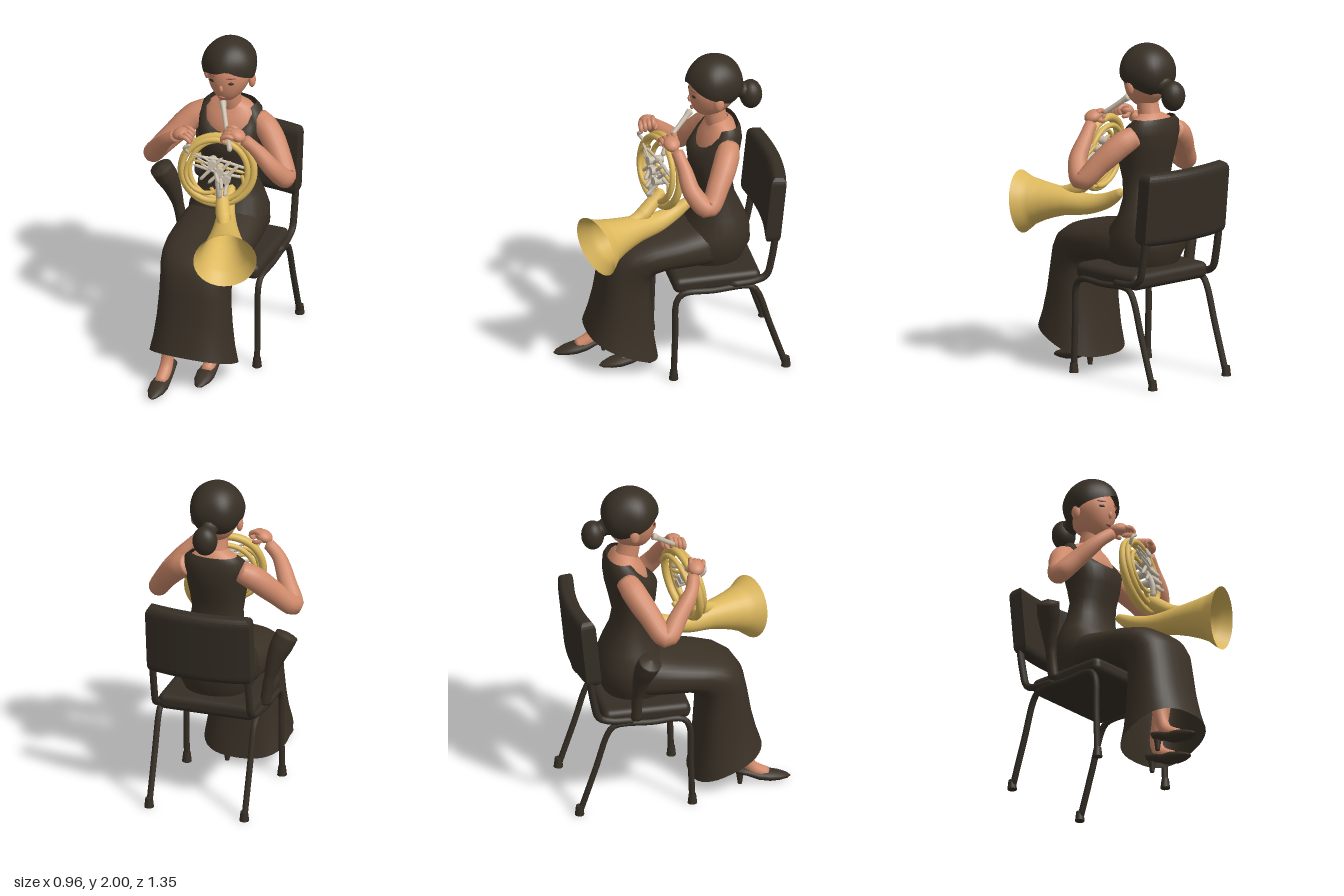
import * as THREE from 'three';
import { mergeVertices } from 'three/addons/utils/BufferGeometryUtils.js';
import { RoundedBoxGeometry } from 'three/addons/geometries/RoundedBoxGeometry.js';

const V = (p) => new THREE.Vector3(...p);
const material = (name, color, side = THREE.FrontSide) => {
  const m = new THREE.MeshStandardMaterial({ color, side });
  m.name = name;
  return m;
};

function smooth(g) {
  g.deleteAttribute('uv');
  g.deleteAttribute('normal');
  const merged = mergeVertices(g, 1e-5);
  merged.computeVertexNormals();
  return merged;
}

// Tube through points with radii spread evenly along its length
function taper(points, radii, { sides = 10, segs = 28, capEnd = true } = {}) {
  const curve = new THREE.CatmullRomCurve3(points.map(V));
  const g = new THREE.TubeGeometry(curve, segs, 1, sides);
  const pos = g.attributes.position, p = new THREE.Vector3();
  for (let i = 0; i <= segs; i++) {
    const c = curve.getPointAt(i / segs);
    const f = (i / segs) * (radii.length - 1), k = Math.min(Math.floor(f), radii.length - 2);
    let r = radii[k] + (radii[k + 1] - radii[k]) * (f - k);
    if (i === 0 || (i === segs && capEnd)) r = 0.0005;
    for (let j = 0; j <= sides; j++) {
      const n = i * (sides + 1) + j;
      p.fromBufferAttribute(pos, n).sub(c).multiplyScalar(r).add(c);
      pos.setXYZ(n, p.x, p.y, p.z);
    }
  }
  return smooth(g);
}

// Skin over oval rings, each given as [z1, y1, z2, y2, halfWidth]
function loft(rings, { cx = 0.01, power = 1, n = 28, edit } = {}) {
  const pos = [], index = [];
  const bend = (t) => Math.sign(t) * Math.abs(t) ** power;
  rings.forEach(([z1, y1, z2, y2, w], i) => {
    for (let j = 0; j < n; j++) {
      const a = (j / n) * Math.PI * 2, c = bend(Math.cos(a)), s = bend(Math.sin(a));
      const p = V([cx + w * c, (y1 + y2) / 2 + s * (y2 - y1) / 2, (z1 + z2) / 2 + s * (z2 - z1) / 2]);
      if (edit) edit(p, a);
      pos.push(p.x, p.y, p.z);
      if (i === rings.length - 1) continue;
      const A = i * n + j, D = i * n + (j + 1) % n;
      index.push(A, A + n, D + n, A, D + n, D);
    }
  });
  const g = new THREE.BufferGeometry();
  g.setAttribute('position', new THREE.Float32BufferAttribute(pos, 3));
  g.setIndex(index);
  g.computeVertexNormals();
  return g;
}

export function createModel() {
  const root = new THREE.Group();
  const skin = material('skin', 0xd08b6c), dark = material('dark cloth', 0x3a3126, THREE.DoubleSide);
  const chairMat = material('chair black', 0x352e25), hairMat = material('hair', 0x372f25, THREE.DoubleSide);
  const gold = material('brass', 0xdcb75c, THREE.DoubleSide), silver = material('silver', 0xc9beac);
  const lipMat = material('lips', 0xaa5f4e), eyeMat = material('eyes', 0x3f2c24);
  const add = (name, g, m, parent = root) => {
    const mesh = new THREE.Mesh(g, m);
    mesh.name = name;
    parent.add(mesh);
    return mesh;
  };
  const ball = (name, m, at, size) => {
    const b = add(name, new THREE.SphereGeometry(1, 20, 14), m);
    b.position.set(...at);
    b.scale.set(...size);
    return b;
  };

  // Chair
  add('seat', new RoundedBoxGeometry(0.6, 0.1, 0.53, 4, 0.04), chairMat).position.set(0.012, 0.62, -0.23);
  const back = new THREE.Shape();
  back.moveTo(-0.29, 0.025).quadraticCurveTo(0, 0.09, 0.29, 0.025);
  back.lineTo(0.29, 0).quadraticCurveTo(0, 0.06, -0.29, 0);
  const backGeo = new THREE.ExtrudeGeometry(back, { depth: 0.34, bevelSize: 0.035, bevelThickness: 0.05, bevelSegments: 5, curveSegments: 14 });
  backGeo.translate(0, 0, -0.17).rotateX(-Math.PI / 2);
  const rest = add('backrest', backGeo, chairMat);
  rest.position.set(0.012, 1.08, -0.57);
  rest.rotation.x = -0.1;
  for (const s of [-1, 1]) {
    const x = 0.012 + s * 0.298;
    add('chairLegs', taper([[x, 0, 0.04], [x, 0.3, 0.03], [x, 0.53, 0.02], [x, 0.575, -0.02], [x, 0.575, -0.2],
      [x, 0.575, -0.43], [x, 0.53, -0.47], [x, 0.3, -0.545], [x, 0, -0.645]], [0.019, 0.019], { segs: 50, sides: 8 }), chairMat);
    add('chairUpright', taper([[x, 0.6, -0.3], [x, 0.61, -0.46], [x, 0.64, -0.525], [x, 0.74, -0.555], [x, 1.05, -0.6]],
      [0.022, 0.022], { sides: 8 }), chairMat);
    for (const z of [0.04, -0.643])
      add('chairFoot', new THREE.CylinderGeometry(0.022, 0.029, 0.06, 10), chairMat).position.set(x, 0.03, z);
  }
  // Flared mute standing beside the seat
  add('mute', taper([[-0.295, 0.6, -0.3], [-0.32, 0.76, -0.3], [-0.36, 0.92, -0.28], [-0.42, 1.07, -0.235]],
    [0.034, 0.032, 0.034, 0.05, 0.068, 0.07], { sides: 14 }), dark);

  // Dress: torso with scooped neckline, then lap and long skirt
  add('bodice', loft([
    [-0.44, 0.68, -0.06, 0.68, 0.2], [-0.485, 0.78, -0.03, 0.78, 0.245], [-0.48, 0.88, -0.07, 0.88, 0.24],
    [-0.44, 0.98, -0.15, 0.98, 0.205], [-0.395, 1.08, -0.17, 1.08, 0.168], [-0.378, 1.18, -0.155, 1.18, 0.155],
    [-0.4, 1.28, -0.125, 1.28, 0.168], [-0.425, 1.38, -0.115, 1.38, 0.186], [-0.437, 1.47, -0.165, 1.47, 0.192],
    [-0.43, 1.53, -0.22, 1.53, 0.182], [-0.415, 1.565, -0.255, 1.565, 0.145]],
  { power: 0.9, edit: (p, a) => {
    const dip = Math.max(0, Math.sin(a)) ** 3 * 0.65;
    if (p.y > 1.38) p.y = 1.38 + (p.y - 1.38) * (1 - dip);
  } }), dark);
  add('skirt', loft([
    [-0.25, 0.96, -0.4, 0.67, 0.2], [-0.14, 0.93, -0.22, 0.66, 0.245], [0, 0.9, -0.08, 0.66, 0.25],
    [0.15, 0.875, 0.03, 0.66, 0.25], [0.27, 0.845, 0.09, 0.64, 0.24], [0.35, 0.795, 0.115, 0.61, 0.228],
    [0.4, 0.72, 0.125, 0.56, 0.215], [0.425, 0.6, 0.125, 0.47, 0.215], [0.45, 0.45, 0.115, 0.32, 0.225],
    [0.48, 0.33, 0.1, 0.17, 0.24], [0.51, 0.24, 0.08, 0.05, 0.26]], { power: 0.8, n: 36 }), dark);

  // Chest, neck and arms
  add('chest', loft([
    [-0.36, 1.28, -0.2, 1.28, 0.13], [-0.39, 1.38, -0.165, 1.38, 0.16], [-0.405, 1.46, -0.18, 1.46, 0.17],
    [-0.405, 1.52, -0.215, 1.52, 0.16], [-0.395, 1.555, -0.24, 1.555, 0.125], [-0.36, 1.59, -0.25, 1.585, 0.06]]), skin);
  add('neck', taper([[0.01, 1.48, -0.32], [0.01, 1.6, -0.285], [0.01, 1.72, -0.265]], [0.085, 0.068, 0.064, 0.066], { sides: 16 }), skin);
  for (const s of [-1, 1]) {
    const name = s > 0 ? 'left' : 'right', X = (x) => 0.01 + s * x;
    const wy = s > 0 ? 1.51 : 1.49, wz = s > 0 ? 0.0 : 0.07, ex = s > 0 ? 0.41 : 0.43;
    add(name + 'Arm', taper([[X(0.14), 1.475, -0.335], [X(0.23), 1.425, -0.3], [X(0.33), 1.32, -0.23], [X(ex), 1.21, -0.145],
      [X(0.365), 1.3, -0.06], [X(0.275), 1.42, wz - 0.03], [X(0.19), wy, wz]],
    [0.062, 0.073, 0.073, 0.067, 0.062, 0.06, 0.056, 0.05, 0.04, 0.036], { segs: 44, sides: 14 }), skin);
    // Hand with curled fingers
    const hx = X(0.165), hy = wy + 0.025, hz = wz + 0.02;
    ball(name + 'Palm', skin, [hx, hy, hz], [0.055, 0.036, 0.05]).rotation.z = -s * 0.4;
    for (let k = 0; k < 4; k++) {
      const z = hz - 0.032 + k * 0.025, y = hy + 0.02 - k * 0.008;
      add(name + 'Finger', taper([[hx, y, z], [hx - s * 0.045, y + 0.012, z + 0.01], [hx - s * 0.078, y - 0.012, z + 0.012],
        [hx - s * 0.055, y - 0.04, z + 0.008]], [0.014, 0.015, 0.013, 0.011], { sides: 7, segs: 12 }), skin);
    }
    add(name + 'Thumb', taper([[hx, hy - 0.01, hz - 0.03], [hx - s * 0.03, hy - 0.025, hz - 0.045], [hx - s * 0.06, hy - 0.03, hz - 0.03]],
      [0.016, 0.014, 0.011], { sides: 7, segs: 10 }), skin);

    // Leg and heeled shoe
    const lx = s > 0 ? 0.09 : -0.115, z0 = s > 0 ? 0.11 : 0.34, shin = s > 0 ? 0.22 : 0.34;
    add(name + 'Leg', taper([[lx, 0.42, shin], [lx, 0.3, (shin + z0 + 0.06) / 2], [lx, 0.17, z0 + 0.06], [lx, 0.1, z0 + 0.1], [lx, 0.045, z0 + 0.2]],
      [0.05, 0.052, 0.045, 0.038, 0.04, 0.036], { sides: 12 }), skin);
    add(name + 'Shoe', loft([
      [z0 + 0.005, 0.1, z0 + 0.005, 0.085, 0.005], [z0, 0.125, z0 + 0.005, 0.07, 0.038], [z0 + 0.06, 0.108, z0 + 0.06, 0.055, 0.046],
      [z0 + 0.14, 0.08, z0 + 0.13, 0.02, 0.05], [z0 + 0.2, 0.074, z0 + 0.2, 0.006, 0.058], [z0 + 0.26, 0.058, z0 + 0.26, 0.005, 0.049],
      [z0 + 0.31, 0.038, z0 + 0.31, 0.008, 0.026], [z0 + 0.33, 0.022, z0 + 0.33, 0.018, 0.004]], { cx: lx, n: 16 }), dark);
    add(name + 'Heel', new THREE.CylinderGeometry(0.026, 0.013, 0.09, 10), dark).position.set(lx, 0.045, z0 + 0.025);
  }

  // Head narrowing toward the chin
  const headGeo = new THREE.SphereGeometry(1, 28, 20), hp = headGeo.attributes.position;
  for (let i = 0; i < hp.count; i++) {
    const y = hp.getY(i), low = Math.max(0, -y);
    hp.setXYZ(i, hp.getX(i) * 0.132 * (1 - 0.2 * low), y * 0.165, hp.getZ(i) * 0.145 + low * low * 0.03);
  }
  add('head', smooth(headGeo), skin).position.set(0.012, 1.78, -0.27);
  ball('nose', skin, [0.012, 1.735, -0.13], [0.013, 0.024, 0.014]);
  ball('mouth', lipMat, [0.012, 1.672, -0.14], [0.022, 0.008, 0.009]);
  for (const s of [-1, 1]) {
    ball('ear', skin, [0.012 + s * 0.142, 1.75, -0.275], [0.02, 0.045, 0.03]);
    ball('eye', eyeMat, [0.012 + s * 0.062, 1.777, -0.139], [0.018, 0.009, 0.005]).rotation.y = s * 0.45;
    ball('eyebrow', lipMat, [0.012 + s * 0.06, 1.81, -0.143], [0.03, 0.006, 0.005]).rotation.y = s * 0.45;
  }

  // Hair cap: swept hairline rising to a side part, low at the nape
  const hairGeo = new THREE.SphereGeometry(1, 36, 18, 0, Math.PI * 2, 0, 3.1), q = hairGeo.attributes.position, uv = hairGeo.attributes.uv;
  for (let i = 0; i < q.count; i++) {
    const phi = uv.getX(i) * Math.PI * 2, c = -Math.cos(phi), f = Math.sin(phi);
    const part = 0.14 * Math.exp(-(((c - 0.25) / 0.3) ** 2)) * Math.max(0, f);
    const th = (1 - uv.getY(i)) * (2.04 - 0.5 * f - 0.05 * c - part);
    const r = 1 + 0.03 * Math.sin(phi * 5) * Math.sin(th) ** 2;
    q.setXYZ(i, c * Math.sin(th) * 0.163 * r, Math.cos(th) * 0.165, f * Math.sin(th) * 0.172 * r);
  }
  add('hair', smooth(hairGeo), hairMat).position.set(0.012, 1.835, -0.278);
  ball('bun', hairMat, [0.01, 1.715, -0.5], [0.075, 0.09, 0.068]);
  add('bunTie', taper([[0.01, 1.78, -0.38], [0.01, 1.755, -0.44], [0.01, 1.73, -0.49]], [0.075, 0.05, 0.055]), hairMat);

  // Horn coil, facing forward and slightly turned
  const horn = new THREE.Group();
  horn.name = 'hornCoil';
  horn.position.set(0.065, 1.295, 0.055);
  horn.rotation.set(-0.14, 0.28, 0);
  root.add(horn);
  const ring = (r, t, x, y, z, arc = Math.PI * 2, turn = 0) => {
    const m = add('coil', new THREE.TorusGeometry(r, t, 10, 48, arc), gold, horn);
    m.position.set(x, y, z);
    m.rotation.z = turn;
  };
  ring(0.215, 0.023, 0, 0, 0);
  ring(0.195, 0.018, -0.015, 0.006, 0.03);
  ring(0.185, 0.016, 0.015, -0.01, -0.03, 4.6, 0.6);
  ring(0.125, 0.013, -0.06, -0.01, 0.045, 3.4, 1.9);
  ring(0.1, 0.012, 0.06, -0.06, 0.035, 3.2, 3.6);
  const pipe = (name, pts, r, m) => add(name, taper(pts, [r, r], { sides: 8, segs: 14 }), m, horn);
  // Valves and slides
  for (let k = 0; k < 3; k++) {
    const v = add('valve', new THREE.CylinderGeometry(0.026, 0.026, 0.1, 14), silver, horn);
    v.position.set(-0.03 + k * 0.045, 0.06 - k * 0.045, 0.04);
    v.rotation.x = Math.PI / 2;
    pipe('valveLever', [[-0.14 + k * 0.02, 0.12 - k * 0.03, 0.07], [-0.06 + k * 0.03, 0.09 - k * 0.04, 0.08], [-0.03 + k * 0.045, 0.06 - k * 0.045, 0.08]], 0.007, silver);
    const x = -0.1 + k * 0.05, y = -0.05 - k * 0.018;
    pipe('slide', [[x, y, 0.065], [x + 0.07, y + 0.08, 0.06], [x + 0.13, y + 0.15, 0.05]], 0.011, silver);
    pipe('forwardSlide', [[-0.02 + k * 0.045, 0.05 - k * 0.04, 0.05], [0.0 + k * 0.03, 0 - k * 0.045, 0.09], [0.02 + k * 0.02, -0.04 - k * 0.04, 0.12]], 0.012, silver);
    pipe('crossTube', [[-0.15, 0.03 + k * 0.035, 0.02 + k * 0.02], [0, k * 0.04, 0.04], [0.17, -0.03 + k * 0.03, 0.02]], 0.01, k === 1 ? gold : silver);
  }
  pipe('brace', [[0.0, 0.02, 0.05], [0.015, -0.08, 0.07], [0.025, -0.16, 0.06]], 0.018, silver);
  pipe('fingerHook', [[-0.17, 0.1, 0.03], [-0.2, 0.15, 0.07], [-0.16, 0.18, 0.08]], 0.01, silver);

  // Mouthpiece and lead pipe
  add('leadPipe', taper([[0.02, 1.66, -0.135], [0.07, 1.59, -0.05], [0.115, 1.525, 0.025], [0.15, 1.44, 0.07]],
    [0.024, 0.016, 0.014, 0.014, 0.014, 0.015, 0.016], { segs: 30 }), silver);

  // Bell widening from its rear tail, and the branch blending it into the coil
  add('bell', taper([[0.08, 1.095, -0.14], [0.095, 1.02, -0.02], [0.135, 0.985, 0.1], [0.195, 0.985, 0.26], [0.255, 0.972, 0.42], [0.292, 0.96, 0.507]],
    [0.02, 0.036, 0.046, 0.054, 0.063, 0.072, 0.083, 0.098, 0.117, 0.142, 0.188], { sides: 32, segs: 40, capEnd: false }), gold);
  add('bellBranch', taper([[0.095, 1.18, 0.055], [0.125, 1.11, 0.13], [0.165, 1.055, 0.21], [0.2, 1.045, 0.3]],
    [0.03, 0.037, 0.043, 0.045, 0.036, 0.022], { sides: 16 }), gold);

  return root;
}
